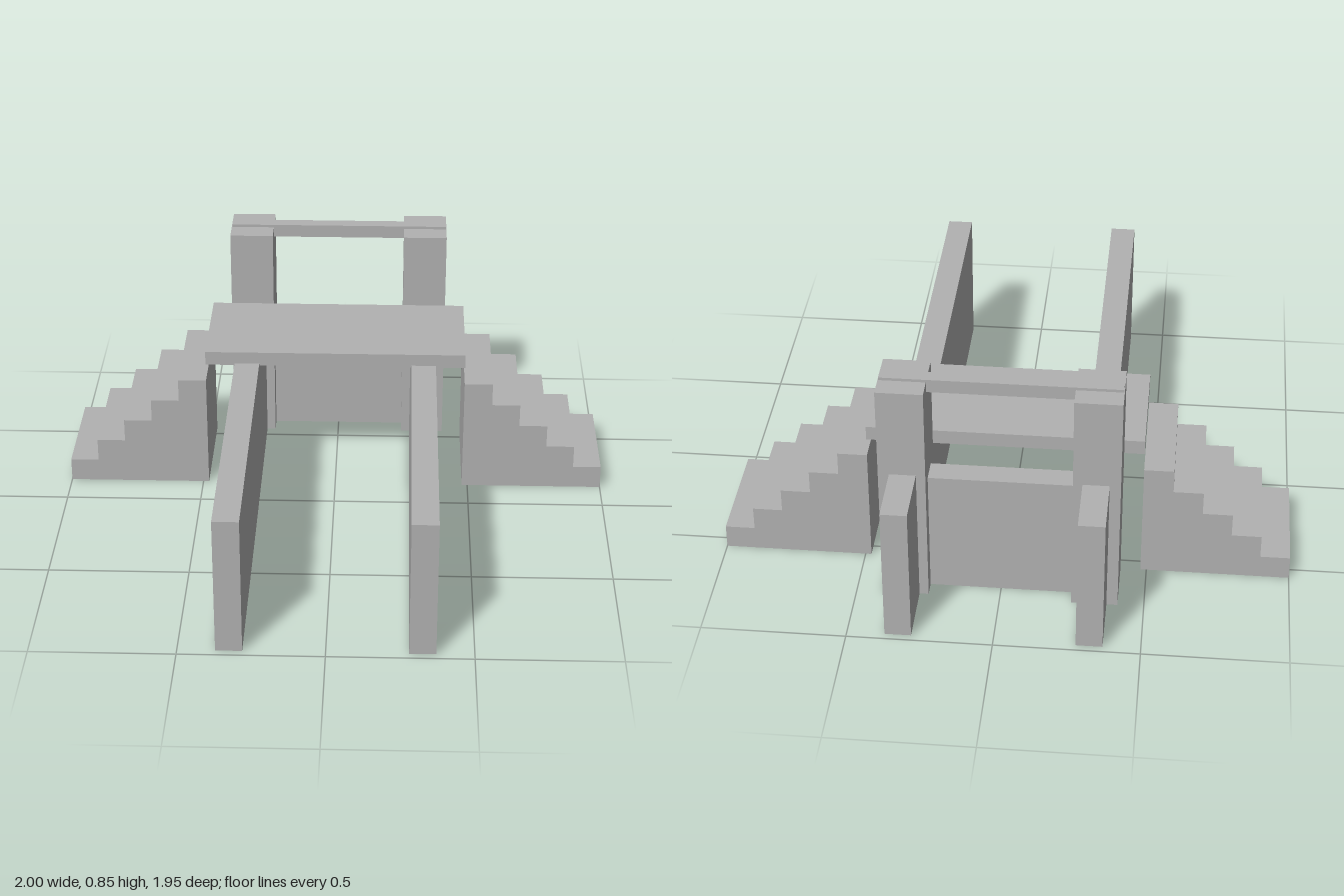
import * as THREE from 'three';

export function createModel() {
  const model = new THREE.Group();
  const stone = new THREE.MeshStandardMaterial({ color: 0xb2b2b2 });
  stone.name = 'plain grey';

  // Box given by its extents on each axis
  function block(name, [x0, x1], [y0, y1], [z0, z1], parent = model) {
    const mesh = new THREE.Mesh(new THREE.BoxGeometry(x1 - x0, y1 - y0, z1 - z0), stone);
    mesh.position.set((x0 + x1) / 2, (y0 + y1) / 2, (z0 + z1) / 2);
    mesh.name = name;
    parent.add(mesh);
  }

  const deckZ = [-0.546, -0.133];

  // Bridge deck, gate between the towers, and top beam
  block('deck', [-0.479, 0.479], [0.5, 0.552], deckZ);
  block('gate', [-0.25, 0.25], [0, 0.46], [-0.695, -0.61]);
  block('topBeam', [-0.407, 0.407], [0.797, 0.845], [-0.675, -0.627]);

  // Mirrored walls, towers and stairs
  for (const [side, s] of [['left', 1], ['right', -1]]) {
    const span = (a, b) => (s > 0 ? [a, b] : [-b, -a]);
    block(side + 'Wall', span(0.28, 0.371), [0, 0.507], [-0.975, 0.975]);
    block(side + 'Tower', span(0.248, 0.409), [0, 0.835], [-0.75, -0.546]);

    // Five steps rising towards the deck
    const stairs = new THREE.Group();
    stairs.name = side + 'Stairs';
    const width = (1 - 0.479) / 5;
    for (let i = 0; i < 5; i++) {
      const outer = 1 - i * width;
      block(side + 'Step' + (i + 1), span(outer - width, outer), [0, 0.0865 * (i + 1)], deckZ, stairs);
    }
    model.add(stairs);
  }
  return model;
}
